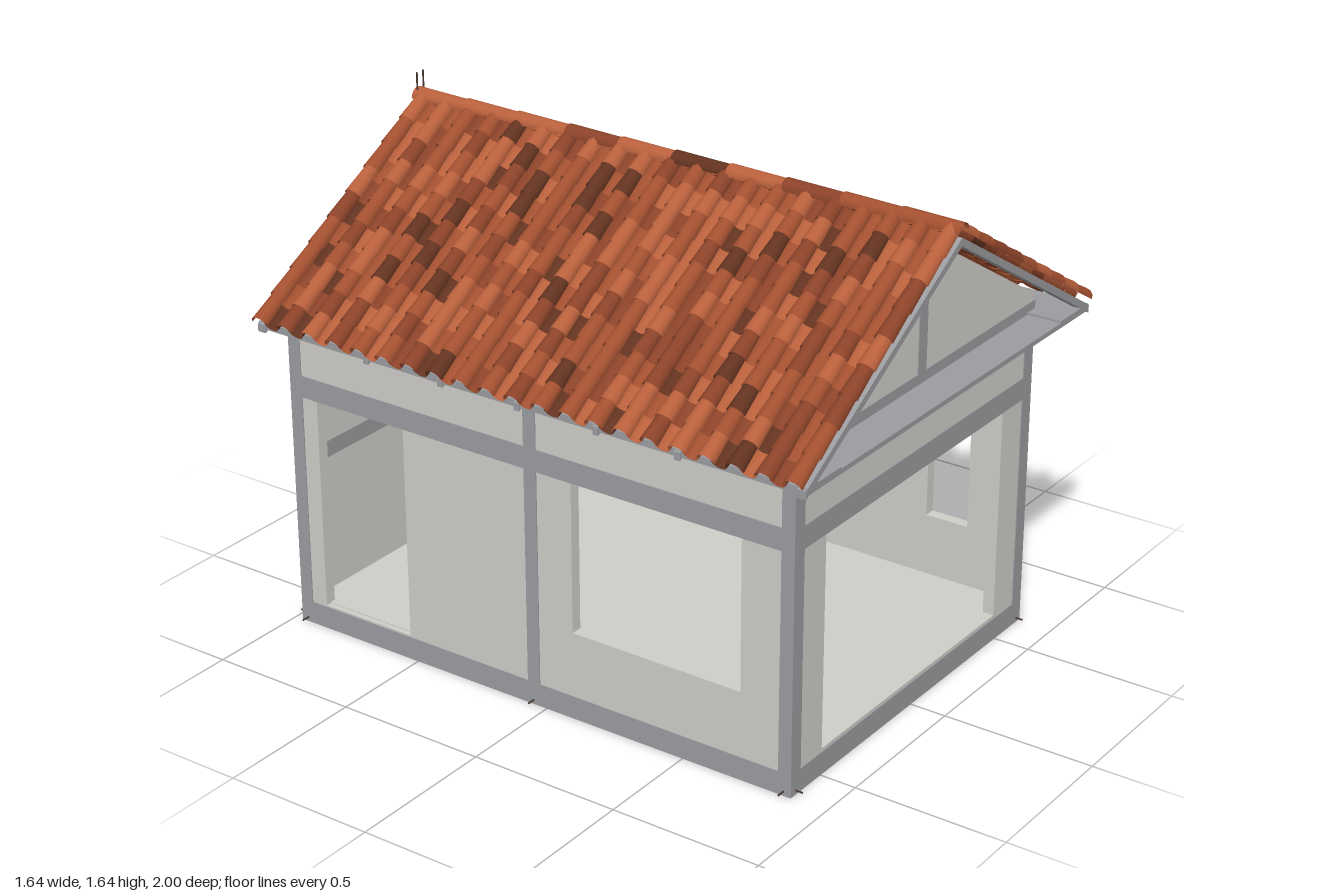
import * as THREE from 'three';
import { mergeGeometries } from 'three/addons/utils/BufferGeometryUtils.js';

const paint = (name, color, double) => {
  const m = new THREE.MeshStandardMaterial({ color });
  m.name = name;
  if (double) m.side = THREE.DoubleSide;
  return m;
};

export function createModel() {
  const house = new THREE.Group();
  house.name = 'house';
  const plaster = paint('plaster', 0xcfcdc8);
  const concrete = paint('concrete', 0x9b9ca0);
  const earth = paint('earth', 0xbca872);
  const steel = paint('darkSteel', 0x4a3a34);
  const clays = [
    paint('lightClay', 0xb9603c, true), paint('midClay', 0xa35030, true),
    paint('redClay', 0x8c4329, true), paint('darkClay', 0x633320, true),
  ];

  const add = (name, geometry, material) => {
    const mesh = new THREE.Mesh(geometry, material);
    mesh.name = name;
    house.add(mesh);
    return mesh;
  };
  // Box given by its limits on each axis
  const block = (x0, x1, y0, y1, z0, z1) =>
    new THREE.BoxGeometry(x1 - x0, y1 - y0, z1 - z0)
      .translate((x0 + x1) / 2, (y0 + y1) / 2, (z0 + z1) / 2);

  const W = 0.657, F = 0.88, B = -0.972;      // outer wall limits
  const T = 0.045, IN = 0.003, WT = 0.038;    // frame depth, wall recess, wall depth
  const SLOPE = 0.607, ANGLE = Math.atan(SLOPE), UNDER = 1.517;

  // Walls: outline with rectangular openings
  const wall = (points, openings) => {
    const shape = new THREE.Shape(points.map(p => new THREE.Vector2(...p)));
    for (const [a, b, c, d] of openings) {
      shape.holes.push(new THREE.Path([[a, c], [a, d], [b, d], [b, c]].map(p => new THREE.Vector2(...p))));
    }
    return new THREE.ExtrudeGeometry(shape, { depth: WT, bevelEnabled: false });
  };
  const w = W - IN, shoulder = UNDER - SLOPE * w;
  const gable = [[-w, 0.01], [w, 0.01], [w, shoulder], [0, UNDER], [-w, shoulder]];
  add('frontWall', wall(gable, [[-0.492, 0.492, 0.085, 0.784]]).translate(0, 0, F - IN - WT), plaster);
  add('backWall', wall(gable, []).translate(0, 0, B + IN), plaster);
  const side = [[B + T, 0.01], [F - T, 0.01], [F - T, 1.06], [B + T, 1.06]];
  add('leftWall', wall(side, [[0.55, 0.7, 0.29, 0.785], [-0.79, -0.64, 0.29, 0.785]])
    .rotateY(-Math.PI / 2).translate(w, 0, 0), plaster);
  add('rightWall', wall(side, [[0.1, 0.7, 0.29, 0.785], [-0.87, -0.53, 0.08, 0.785]])
    .rotateY(-Math.PI / 2).translate(-w + WT, 0, 0), plaster);

  // Concrete frame: columns and beams showing on both faces of the walls
  const columns = [], beams = [];
  for (const s of [-1, 1]) {
    const sideBlock = (a, b, y0, y1, z0, z1) =>
      s > 0 ? block(a, b, y0, y1, z0, z1) : block(-b, -a, y0, y1, z0, z1);
    columns.push(
      sideBlock(W - 0.05, W, 0, 1.06, F - T, F),
      sideBlock(W - 0.05, W, 0, 1.06, B, B + T),
      sideBlock(W - 0.06, W, 0, 1.06, -0.07, -0.025));
    beams.push(
      sideBlock(W - T, W, 0, 0.075, B, F),
      sideBlock(W - T, W, 0.785, 0.857, B, F),
      sideBlock(W - T, W, 1.06, 1.1, B, F));
  }
  for (const [z0, z1, y0, y1] of [[F - T, F, 0.784, 0.857], [B, B + T, 0.54, 0.595]]) {
    columns.push(block(-0.022, 0.022, 1.09, 1.5, z0, z1));
    beams.push(
      block(-W, W, 0, 0.075, z0, z1),
      block(-W + 0.03, W - 0.03, y0, y1, z0, z1),
      block(-W, W, 1.06, 1.1, z0, z1));
  }
  add('columns', mergeGeometries(columns), concrete);
  add('beams', mergeGeometries(beams), concrete);

  // Floor, ground fill and footings
  add('floor', block(-W + 0.02, W - 0.02, 0.012, 0.083, B + 0.02, F - 0.02), plaster);
  add('groundFill', block(-W + 0.02, W - 0.02, 0.004, 0.011, B + 0.02, F - 0.02), earth);
  const footings = [];
  for (const [z0, z1] of [[B, B + 0.2], [-0.17, 0.08], [F - 0.2, F]]) {
    footings.push(block(W - 0.2, W, 0, 0.06, z0, z1), block(-W, -W + 0.2, 0, 0.06, z0, z1));
  }
  add('footings', mergeGeometries(footings), concrete);

  // Flat eaves slab around the outside
  add('eavesSlab', mergeGeometries([
    block(W - T, 0.78, 1.05, 1.072, B, 0.995),
    block(-0.78, -W + T, 1.05, 1.072, B, 0.995),
    block(-W + T, W - T, 1.05, 1.066, F - T, 0.995),
  ]), concrete);

  // Sloping rafters and verge boards
  const rafters = [];
  const rafter = (z, depth, reach) => {
    const shape = new THREE.Shape([
      [0, UNDER], [reach, UNDER - SLOPE * reach], [reach, UNDER + 0.026 - SLOPE * reach],
      [0, UNDER + 0.026], [-reach, UNDER + 0.026 - SLOPE * reach], [-reach, UNDER - SLOPE * reach],
    ].map(p => new THREE.Vector2(...p)));
    rafters.push(new THREE.ExtrudeGeometry(shape, { depth, bevelEnabled: false }).translate(0, 0, z));
  };
  rafter(0.965, 0.03, 0.785);
  rafter(B, 0.03, 0.785);
  for (const z of [0.57, 0.29, 0.01, -0.27, -0.55]) rafter(z - 0.01, 0.02, 0.785);
  add('rafters', mergeGeometries(rafters), concrete);

  // Clay tiles: half barrels, sorted into four shades
  let seed = 11;
  const random = () => (seed = (seed * 16807) % 2147483647) / 2147483647;
  const tiles = [[], [], [], []];
  const put = g => {
    const r = random();
    tiles[r < 0.3 ? 0 : r < 0.66 ? 1 : r < 0.9 ? 2 : 3].push(g);
  };
  // lift is measured along the slope's normal, x is the tile's middle
  const tile = (s, x, z, length, up, down, start, lift) => {
    const g = new THREE.CylinderGeometry(up, down, length, 6, 1, true, start, Math.PI)
      .rotateZ(Math.PI / 2 - ANGLE)
      .translate(x + lift * Math.sin(ANGLE), 1.562 - SLOPE * x + lift * Math.cos(ANGLE), 0);
    if (s < 0) g.rotateY(Math.PI);
    put(g.translate(0, 0, z));
  };
  const EAVE = 0.8, ROWS = 11, LINES = 20, Z0 = -0.945, Z1 = 0.965;
  const pitch = (Z1 - Z0) / LINES, run = EAVE / ROWS;
  for (const s of [-1, 1]) {
    for (let i = 0; i <= LINES; i++) {
      const z = Z0 + i * pitch, verge = i === 0 || i === LINES;
      const rows = verge ? 9 : ROWS, step = EAVE / rows;
      for (let j = 0; j < rows; j++) {
        tile(s, (j + 0.5) * step, z, step / Math.cos(ANGLE) + 0.006,
          0.025, 0.03, 0, verge ? 0.003 : 0);
      }
    }
    for (let i = 0; i < LINES; i++) {
      for (let j = 0; j < ROWS; j++) {
        tile(s, (j + 0.5) * run, Z0 + (i + 0.5) * pitch, run / Math.cos(ANGLE) + 0.006,
          0.03, 0.026, Math.PI, 0.012);
      }
    }
  }
  // Ridge tiles
  const ridgeCount = 10, ridgeStep = 1.97 / ridgeCount;
  for (let i = 0; i < ridgeCount; i++) {
    put(new THREE.CylinderGeometry(0.027, 0.031, ridgeStep + 0.006, 8, 1, true, 0, Math.PI)
      .rotateZ(Math.PI / 2).rotateY(Math.PI / 2)
      .translate(0, 1.562, -0.973 + (i + 0.5) * ridgeStep));
  }
  tiles.forEach((list, i) => add('roofTiles' + (i + 1), mergeGeometries(list), clays[i]));

  // Thin steel rods left sticking out of the frame
  const rods = [];
  for (const s of [-1, 1]) {
    rods.push(block(s * 0.015 - 0.002, s * 0.015 + 0.002, 1.5, 1.645, -0.967, -0.963));
    for (const z of [F - 0.025, -0.048, B + 0.025]) {
      rods.push(block(s * 0.665 - 0.02, s * 0.665 + 0.02, 0.013, 0.017, z - 0.002, z + 0.002));
    }
    rods.push(
      block(s * 0.632 - 0.002, s * 0.632 + 0.002, 0.013, 0.017, -1.0, B + 0.01),
      block(s * 0.632 - 0.002, s * 0.632 + 0.002, 0.013, 0.017, F - 0.01, F + 0.025));
  }
  add('steelRods', mergeGeometries(rods), steel);

  return house;
}
